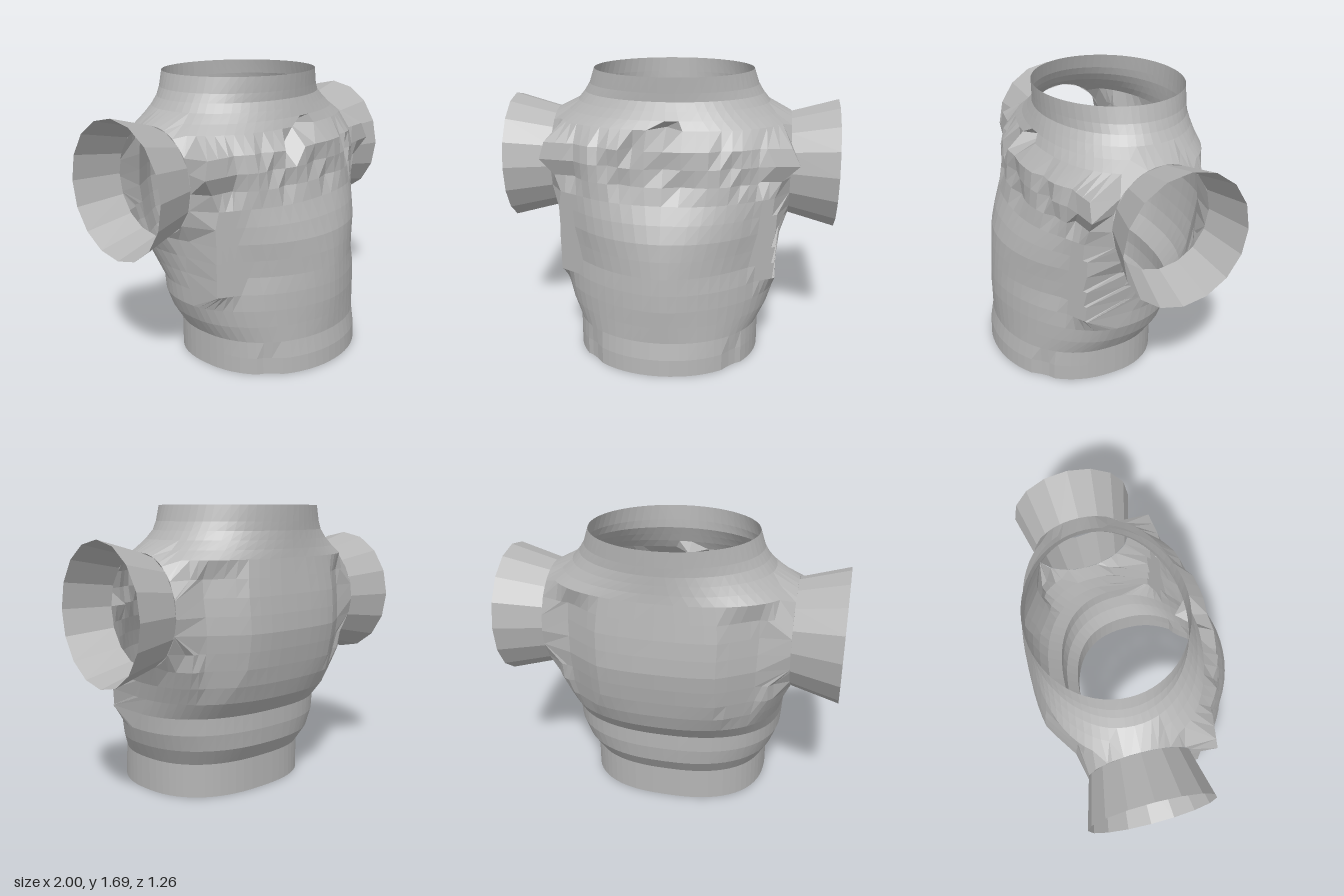
import * as THREE from 'three';

const grey = new THREE.MeshStandardMaterial({ color: 0xb4b4b4, flatShading: true, side: THREE.DoubleSide });
grey.name = 'grey';

// Torso rings: height, half width, front z, back z, z of widest point, front and back roundness
const RINGS = [
  [0.00, 0.555, 0.635, -0.36, 0.12, 2.05, 2.5],
  [0.10, 0.555, 0.63, -0.36, 0.12, 2.05, 2.5],
  [0.20, 0.555, 0.61, -0.36, 0.12, 2.05, 2.5],
  [0.30, 0.61, 0.615, -0.43, 0.10, 1.85, 2.4],
  [0.40, 0.645, 0.62, -0.445, 0.08, 1.75, 2.4],
  [0.50, 0.65, 0.617, -0.445, 0.06, 1.75, 2.4],
  [0.60, 0.66, 0.61, -0.53, 0.00, 1.75, 2.4],
  [0.70, 0.68, 0.60, -0.57, -0.06, 1.85, 2.5],
  [0.80, 0.70, 0.585, -0.595, -0.12, 2.0, 2.6],
  [0.90, 0.70, 0.55, -0.615, -0.13, 2.15, 2.6],
  [1.00, 0.705, 0.505, -0.63, -0.135, 2.3, 2.6],
  [1.10, 0.71, 0.48, -0.625, -0.135, 2.4, 2.6],
  [1.20, 0.715, 0.47, -0.615, -0.135, 2.4, 2.6],
  [1.30, 0.72, 0.46, -0.60, -0.135, 2.4, 2.5],
  [1.40, 0.71, 0.36, -0.585, -0.135, 2.4, 2.4],
  [1.45, 0.65, 0.335, -0.58, -0.135, 2.2, 2.2],
  [1.50, 0.59, 0.315, -0.577, -0.135, 2.1, 2.1],
  [1.55, 0.55, 0.295, -0.575, -0.135, 2, 2],
  [1.60, 0.52, 0.298, -0.577, -0.135, 2, 2],
  [1.69, 0.49, 0.305, -0.58, -0.135, 2, 2],
];
const COLS = 64;
const ARM = { x: 0.72, y: 1.117, z: -0.135, ry: 0.318, rz: 0.298 };

// Point on a ring, with the cloth folds and side points added
function torsoPoint([y, w, zf, zb, zm, nf, nb], j) {
  const a = (2 * Math.PI * j) / COLS, s = Math.sin(a), c = Math.cos(a);
  const n = c > 0 ? nf : nb;
  let x = Math.sign(s) * w * Math.abs(s) ** (2 / n);
  let z = zm + Math.abs(c) ** (2 / n) * (c > 0 ? zf - zm : zb - zm);
  const ax = Math.abs(x), k = Math.min(j, COLS - j);

  // Flat back panel, bevelled towards the sleeves
  if (c < 0 && y > 0.55 && y < 1.35 && ax > 0.3) z = Math.max(z, Math.min(zb + 0.67 * (ax - 0.3), -0.44 + 0.3 * Math.max(0, 0.8 - y)));

  // Side panels meeting the front at a squared corner
  if (c > 0 && y > 0.45 && y < 1.25 && ax > 0.4 && ax < 0.655) z = Math.max(z, 0.41 - 0.6 * (ax - 0.42));

  // Chest folds
  if (c > 0.5 && y > 1.05 && y < 1.35) z -= [0, 0, 0.03, 0.01, 0][(j + Math.round(y * 10)) % 5];
  if (y === 1.4 && k === 0) z = 0.25;
  if (y === 1.3 && j === COLS - 2) z -= 0.1;

  // Pointed wedge in front of each sleeve
  const reach = { 1.1: [0.67, 0.27], 1.2: [x > 0 ? 0.77 : 0.75, 0.3], 1.3: [0.72, 0.29] }[y];
  if (reach && k >= 9 && k <= 11) {
    x = Math.sign(x) * (reach[0] - (11 - k) * 0.07);
    z = reach[1] + (11 - k) * 0.01;
  }
  // Small notches at the hem
  if (y < 0.15 && c > 0 && ax > 0.37 && ax < 0.44) z -= 0.02;
  return [x, y, z];
}

// Torso shell with an oval opening on each side
function torsoGeometry() {
  const pos = [], inHole = [], index = [];
  for (const ring of RINGS) {
    for (let j = 0; j < COLS; j++) {
      let [x, y, z] = torsoPoint(ring, j);
      const dy = (y - ARM.y) / ARM.ry, dz = (z - ARM.z) / ARM.rz;
      const r = Math.hypot(dy, dz), hole = r < 1.12 && Math.abs(x) > 0.55;
      if (hole) {
        x = Math.sign(x) * ARM.x;
        y = ARM.y + (dy / r) * ARM.ry;
        z = ARM.z + (dz / r) * ARM.rz;
      }
      pos.push(x, y, z);
      inHole.push(hole);
    }
  }
  for (let i = 0; i < RINGS.length - 1; i++) {
    for (let j = 0; j < COLS; j++) {
      const a = i * COLS + j, b = i * COLS + ((j + 1) % COLS), c = b + COLS, d = a + COLS;
      if ([a, b, c, d].every((v) => inHole[v])) continue;
      index.push(a, b, c, a, c, d);
    }
  }
  const g = new THREE.BufferGeometry();
  g.setAttribute('position', new THREE.Float32BufferAttribute(pos, 3));
  g.setIndex(index);
  g.computeVertexNormals();
  return g;
}

// Flared sleeve, oval in section
function sleeve(side) {
  const g = new THREE.CylinderGeometry(0.395, ARM.ry, 1 - ARM.x, 16, 1, true);
  g.scale(1, 1, 0.93);
  g.rotateZ((-side * Math.PI) / 2);
  const mesh = new THREE.Mesh(g, grey);
  mesh.position.set((side * (1 + ARM.x)) / 2, ARM.y, ARM.z);
  mesh.name = side > 0 ? 'leftSleeve' : 'rightSleeve';
  return mesh;
}

export function createModel() {
  const model = new THREE.Group();
  model.name = 'sleevedTorsoShell';
  const torso = new THREE.Mesh(torsoGeometry(), grey);
  torso.name = 'torso';
  model.add(torso, sleeve(1), sleeve(-1));
  return model;
}
